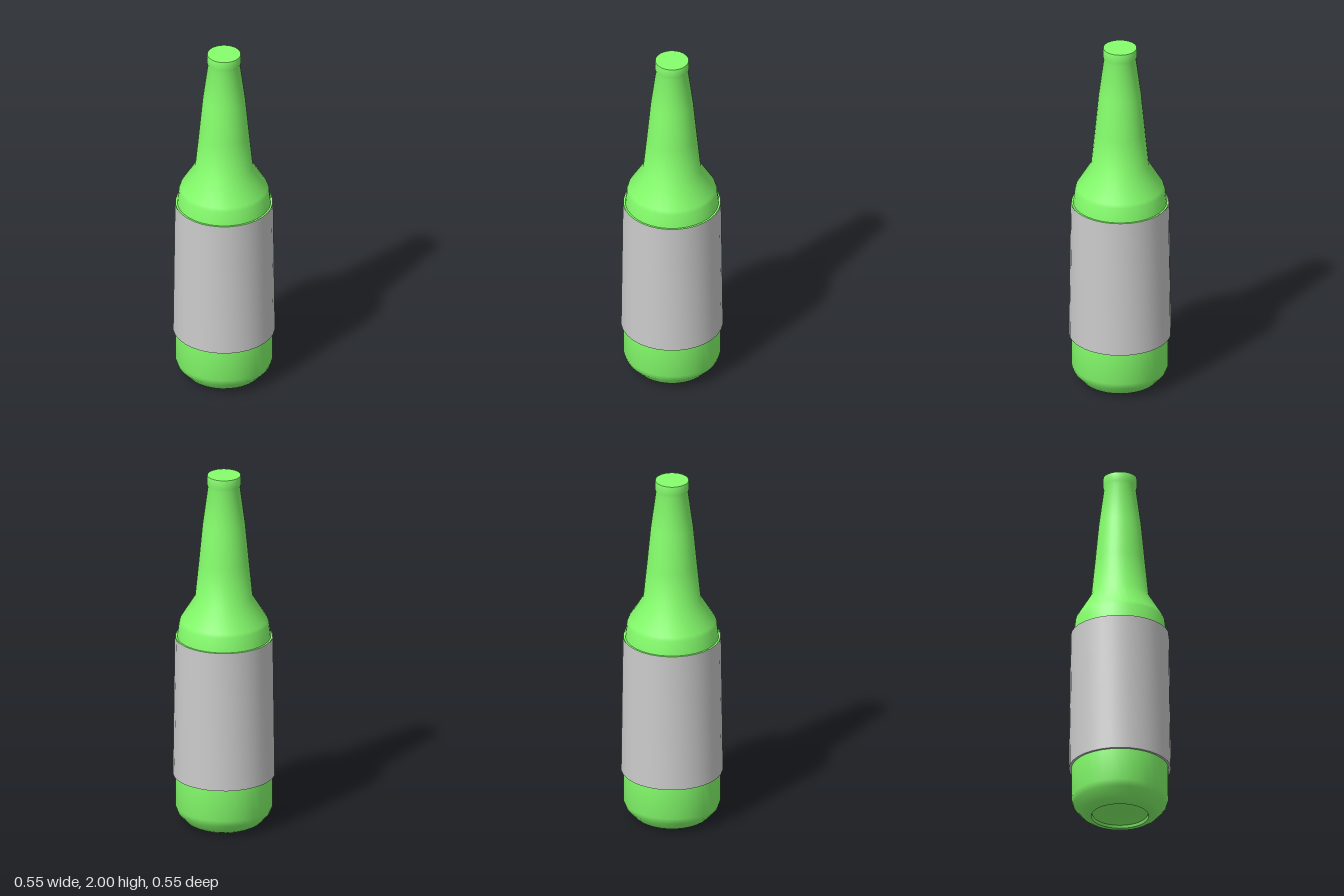
import * as THREE from 'three';
import { toCreasedNormals } from 'three/addons/utils/BufferGeometryUtils.js';

const SIDES = 32;

// Turns a [radius, height] profile, listed from bottom to top, around the y axis
function turned(name, profile, material) {
  const points = profile.map(([r, y]) => new THREE.Vector2(r, y));
  const geometry = toCreasedNormals(new THREE.LatheGeometry(points, SIDES), 0.7);
  const mesh = new THREE.Mesh(geometry, material);
  mesh.name = name;
  return mesh;
}

export function createModel() {
  const group = new THREE.Group();
  group.name = 'bottle';
  const glass = new THREE.MeshStandardMaterial({ color: 0x85fe6c });
  const paper = new THREE.MeshStandardMaterial({ color: 0xcccccc, side: THREE.DoubleSide });

  // Glass: hollowed base, straight body, shelf above the label, shoulder, neck and lip
  group.add(turned('glassBody', [
    [0, 0.05], [0.15, 0.015], [0.155, 0], [0.18, 0], [0.205, 0.015],
    [0.25, 0.065], [0.262, 0.1], [0.262, 0.28], [0.262, 1.07],
    [0.252, 1.07], [0.242, 1.15], [0.235, 1.17], [0.156, 1.3],
    [0.136, 1.5], [0.115, 1.72], [0.087, 1.93], [0.092, 1.95],
    [0.092, 1.99], [0.09, 2], [0, 2],
  ], glass));

  // Label sleeve: slightly flared towards its lower edge
  group.add(turned('label', [
    [0.262, 0.28], [0.275, 0.28], [0.265, 1.07],
  ], paper));

  return group;
}
